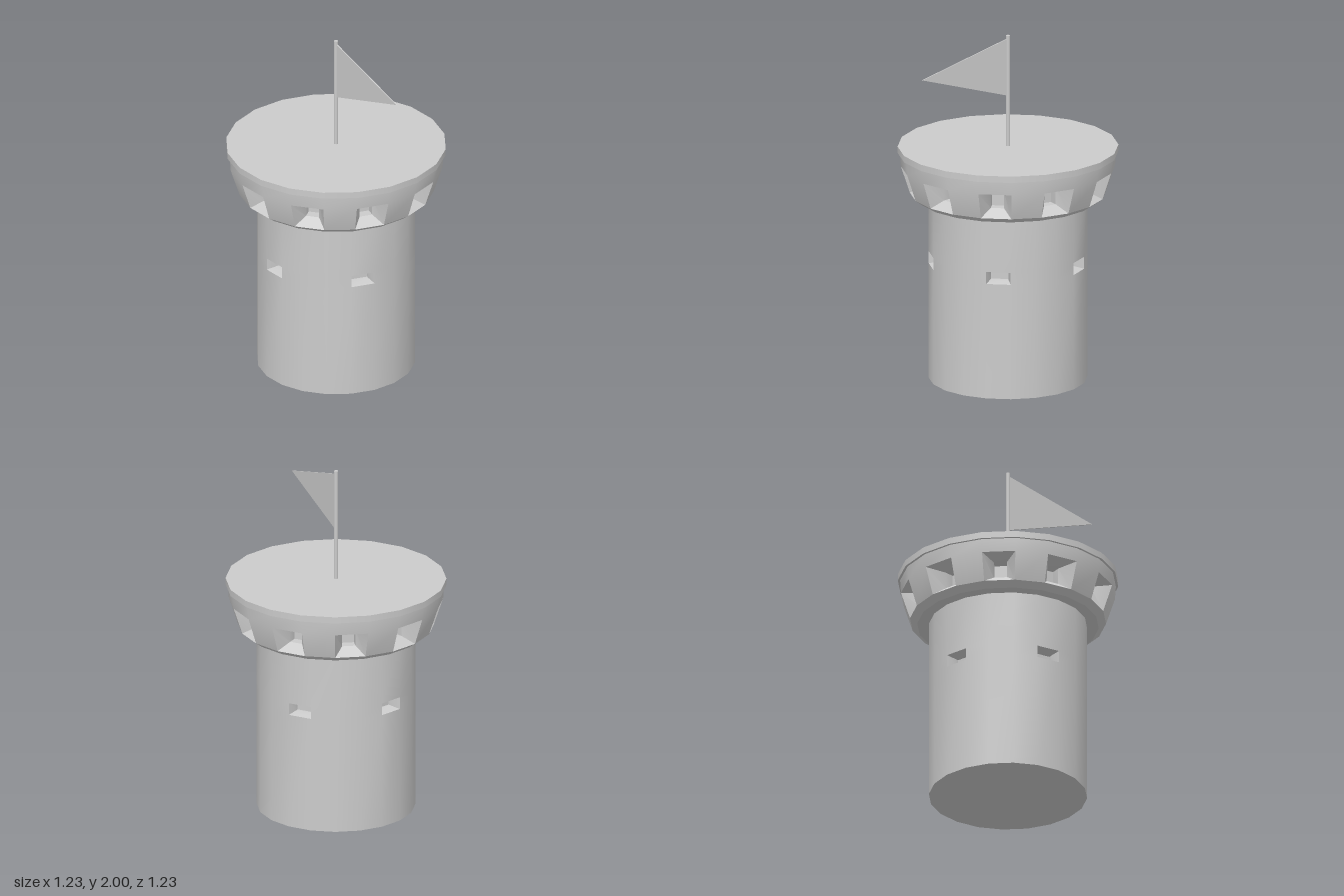
import * as THREE from 'three';
import { toCreasedNormals } from 'three/addons/utils/BufferGeometryUtils.js';

const SIDES = 20;
const HALF = Math.PI / SIDES;
const material = new THREE.MeshStandardMaterial({ color: 0xcccccc });

function part(name, geometry) {
  const mesh = new THREE.Mesh(geometry, material);
  mesh.name = name;
  return mesh;
}

// Point on a facet: across its width (x), up (y) and out from the axis (r)
function point(angle, x, y, r) {
  const s = Math.sin(angle), c = Math.cos(angle);
  return [s * r + c * x, y, c * r - s * x];
}

// Twenty-sided wall from a profile of [apothem, y]. One band of the profile
// holds splayed windows, one on every `step`-th facet.
function facetedWall(profile, { band, step, half, bottom, top, mouth, back }) {
  const pos = [];
  const quad = (a, b, c, d) => pos.push(...a, ...b, ...c, ...a, ...c, ...d);
  const funnel = (o, i) => {
    for (let k = 0; k < 4; k++) quad(o[k], o[(k + 1) % 4], i[(k + 1) % 4], i[k]);
  };
  for (let f = 0; f < SIDES; f++) {
    const angle = f * 2 * HALF;
    const rect = (w0, y0, r0, w1, y1, r1) => [
      point(angle, -w0, y0, r0), point(angle, w0, y0, r0),
      point(angle, w1, y1, r1), point(angle, -w1, y1, r1)];
    for (let j = 0; j < profile.length - 1; j++) {
      const [r0, y0] = profile[j], [r1, y1] = profile[j + 1];
      const outer = rect(r0 * Math.tan(HALF), y0, r0, r1 * Math.tan(HALF), y1, r1);
      if (j !== band || f % step) {
        quad(...outer);
        continue;
      }
      // Splayed reveal, short straight tunnel and closed back
      const inner = rect(half, bottom, mouth, half, top, mouth);
      const end = rect(half, bottom, back, half, top, back);
      funnel(outer, inner);
      funnel(inner, end);
      quad(...end);
    }
  }
  const geometry = new THREE.BufferGeometry();
  geometry.setAttribute('position', new THREE.Float32BufferAttribute(pos, 3));
  return toCreasedNormals(geometry, 0.5);
}

export function createModel() {
  const model = new THREE.Group();
  model.name = 'watchtower';

  // Shaft with five slit windows
  model.add(part('towerShaft', facetedWall(
    [[0.44, 0], [0.44, 0.67], [0.44, 0.74], [0.44, 1.055]],
    { band: 1, step: 4, half: 0.05, bottom: 0.683, top: 0.727, mouth: 0.385, back: 0.37 })));

  const base = part('towerBase', new THREE.CircleGeometry(0.44 / Math.cos(HALF), SIDES, HALF));
  base.rotation.x = Math.PI / 2;
  model.add(base);

  // Flared head with ten windows
  model.add(part('towerHead', facetedWall(
    [[0.44, 1.055], [0.505, 1.055], [0.545, 1.085], [0.595, 1.24], [0.6, 1.32]],
    { band: 2, step: 2, half: 0.038, bottom: 1.13, top: 1.225, mouth: 0.485, back: 0.43 })));

  // Roof slab
  const radius = 0.613 / Math.cos(HALF);
  const roof = part('roofSlab', new THREE.CylinderGeometry(radius, radius, 0.037, SIDES));
  roof.rotation.y = HALF;
  roof.position.y = 1.3365;
  model.add(roof);

  // Flagpole
  const pole = part('flagpole', new THREE.CylinderGeometry(0.012, 0.012, 0.65, 12));
  pole.position.y = 1.675;
  model.add(pole);

  // Pennant
  const shape = new THREE.Shape([
    new THREE.Vector2(0.01, 1.65), new THREE.Vector2(0.55, 1.815), new THREE.Vector2(0.01, 1.98)]);
  const pennant = part('pennant', new THREE.ExtrudeGeometry(shape, { depth: 0.006, bevelEnabled: false }));
  pennant.position.z = -0.003;
  model.add(pennant);

  return model;
}
